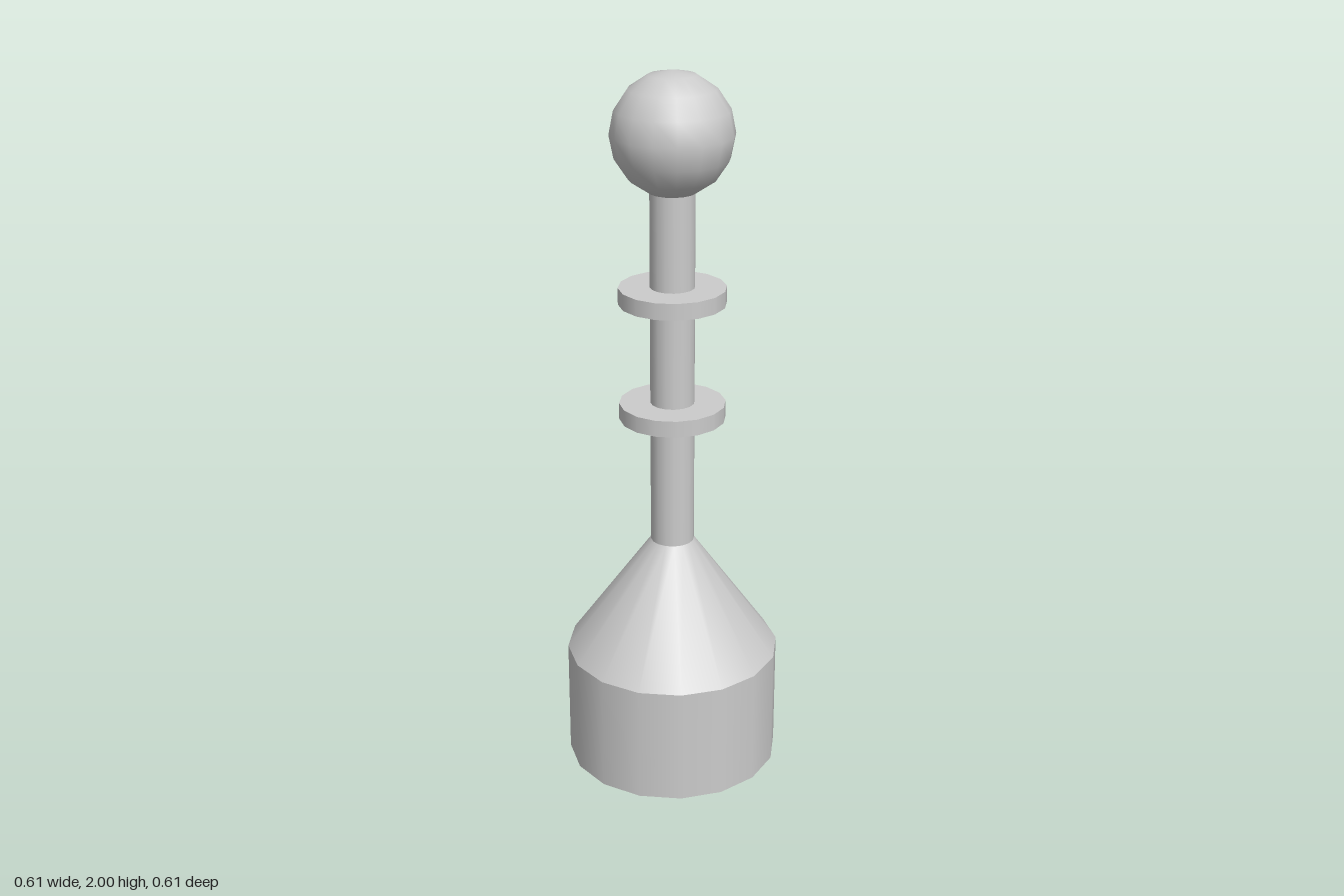
import * as THREE from 'three';

const SIDES = 16;
const material = new THREE.MeshStandardMaterial({ color: 0xcccccc, side: THREE.DoubleSide });

// Adds an upright round part spanning y0 to y1
function addRound(group, name, rBottom, rTop, y0, y1, open) {
  const geometry = new THREE.CylinderGeometry(rTop, rBottom, y1 - y0, SIDES, 1, open);
  const mesh = new THREE.Mesh(geometry, material);
  mesh.name = name;
  mesh.position.y = (y0 + y1) / 2;
  group.add(mesh);
}

export function createModel() {
  const model = new THREE.Group();
  model.name = 'antennaTower';

  // Hollow base, open underneath, with a tapering shoulder
  addRound(model, 'base', 0.303, 0.303, 0, 0.337, true);
  addRound(model, 'shoulder', 0.303, 0.061, 0.337, 0.675, true);

  // Mast with two collar discs
  addRound(model, 'mast', 0.061, 0.061, 0.675, 1.7, true);
  [['lowerDisc', 1.043], ['upperDisc', 1.374]].forEach(([name, y]) => {
    addRound(model, name, 0.147, 0.147, y, y + 0.046, false);
  });

  // Ball on top
  const ball = new THREE.Mesh(new THREE.SphereGeometry(0.166, SIDES, 8), material);
  ball.name = 'ball';
  ball.position.y = 1.834;
  model.add(ball);

  return model;
}
